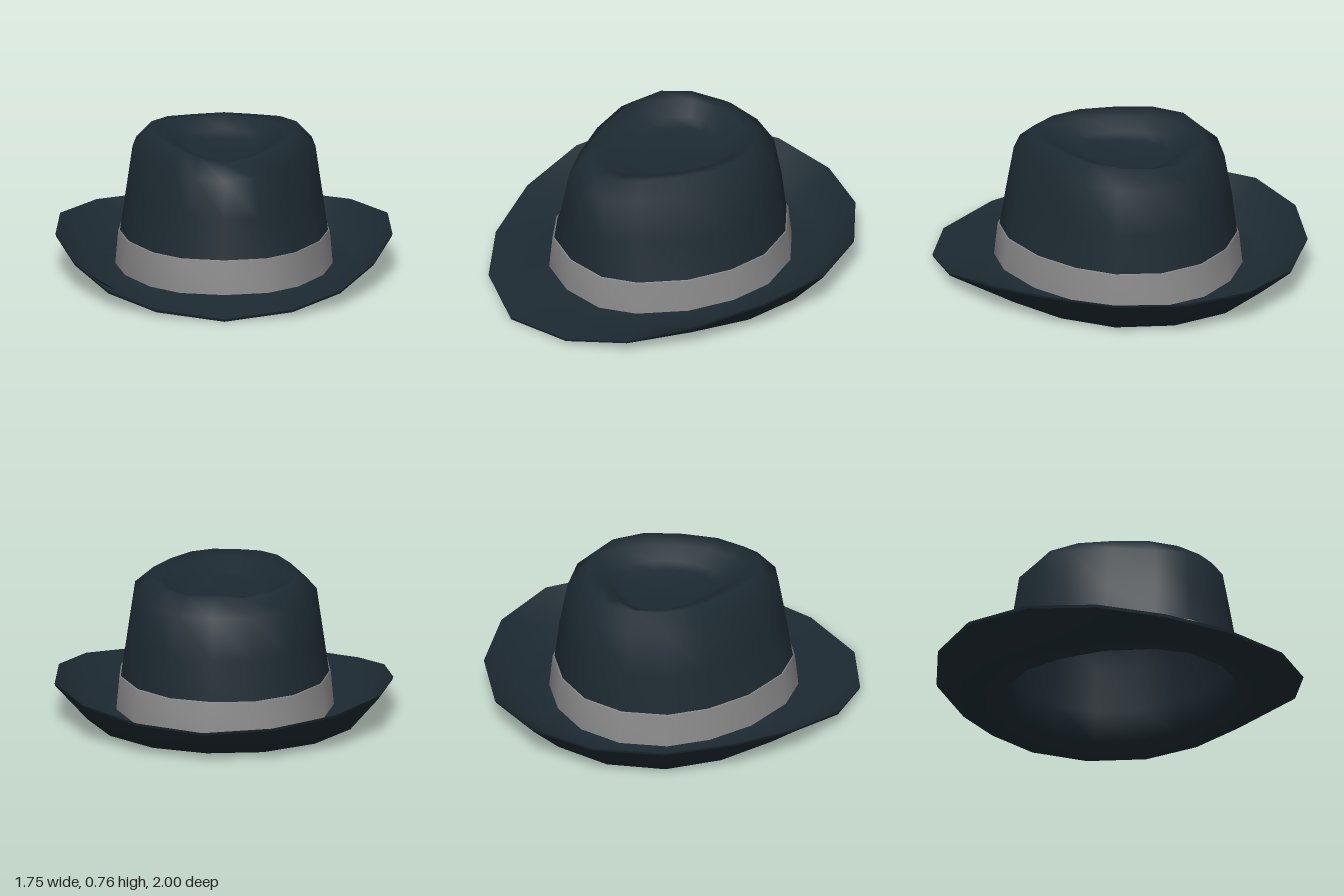
import * as THREE from 'three';

// Half outlines from back centre to front centre, as [x, y, z]
const BAND_BASE = [[0, .05, -.65], [.23, .05, -.61], [.425, .05, -.47], [.545, .05, -.25], [.565, .05, -.02],
  [.515, .05, .23], [.385, .05, .47], [.23, .05, .6], [0, .05, .645]];
const BRIM_EDGE = [[0, .183, -1], [.355, .198, -.925], [.66, .215, -.71], [.85, .225, -.39], [.875, .21, -.01],
  [.78, .155, .365], [.605, .085, .68], [.355, .04, .895], [0, .016, 1]];
const WAIST = [[0, .44, -.59], [.21, .44, -.56], [.385, .44, -.43], [.49, .44, -.235], [.51, .44, -.02],
  [.44, .44, .2], [.31, .44, .42], [.185, .44, .55], [0, .44, .587]];
const SHOULDER = [[0, .665, -.55], [.2, .665, -.52], [.365, .67, -.4], [.455, .68, -.22], [.475, .68, -.02],
  [.39, .675, .19], [.265, .66, .39], [.16, .65, .52], [0, .645, .56]];
const CREST = [[0, .746, -.46], [.15, .742, -.44], [.29, .757, -.34], [.375, .766, -.2], [.38, .762, -.02],
  [.315, .752, .165], [.225, .743, .325], [.125, .728, .43], [0, .715, .48]];
const DENT_EDGE = [[0, .752, -.4], [.13, .737, -.38], [.25, .735, -.31], [.31, .74, -.18], [.3, .735, -.02],
  [.25, .73, .13], [.18, .72, .25], [.1, .71, .34], [0, .705, .38]];

// Mirror a half outline into a closed ring of 16 points
const ring = half => [...half, ...half.slice(1, -1).reverse().map(([x, y, z]) => [-x, y, z])];
// Scale a ring about a point on the z axis and shift it vertically
const scaled = (r, s, dy = 0, cz = 0) => r.map(([x, y, z]) => [x * s, y + dy, cz + (z - cz) * s]);
const atHeight = (r, h) => r.map(([x, , z]) => [x, h, z]);
const mix = (a, b, t) => a.map((p, i) => p.map((v, k) => v + (b[i][k] - v) * t));

// Smooth skin through rings, listed from the top centre outward and down
function loft(name, rings, material) {
  const n = rings[0].length, index = [];
  for (let r = 0; r < rings.length - 1; r++) {
    for (let i = 0; i < n; i++) {
      const a = r * n + i, a1 = r * n + (i + 1) % n, b = a + n, b1 = a1 + n;
      index.push(a, a1, b, a1, b1, b);
    }
  }
  const geometry = new THREE.BufferGeometry();
  geometry.setAttribute('position', new THREE.Float32BufferAttribute(rings.flat(2), 3));
  geometry.setIndex(index);
  geometry.computeVertexNormals();
  const mesh = new THREE.Mesh(geometry, material);
  mesh.name = name;
  return mesh;
}

export function createModel() {
  const felt = new THREE.MeshStandardMaterial({ color: 0x1d2a32 });
  felt.name = 'dark felt';
  const ribbon = new THREE.MeshStandardMaterial({ color: 0x8a8a8a });
  ribbon.name = 'grey ribbon';

  const hat = new THREE.Group();
  hat.name = 'hat';

  const bandBase = ring(BAND_BASE), edge = ring(BRIM_EDGE);
  const dent = ring(DENT_EDGE);
  const bandTop = atHeight(scaled(bandBase, .972), .228);
  const crownBase = atHeight(scaled(bandBase, .958), .22);

  // Crown with its teardrop dent and pinched front
  const dentWall = scaled(dent, .78, -.055, -.08);
  const dentFloor = atHeight(scaled(dent, .6, 0, -.08), .655);
  const dentCentre = atHeight(scaled(dent, .001, 0, -.08), .65);
  const crown = [dentCentre, dentFloor, dentWall, dent, ring(CREST), ring(SHOULDER), ring(WAIST), crownBase];
  hat.add(loft('crown', crown, felt));

  // Ribbon band, its top lip turned in to the crown
  hat.add(loft('band', [atHeight(crownBase, .232), bandTop, bandBase], ribbon));

  // Brim: upper face, thin rim and underside
  const rimLow = edge.map(([x, y, z]) => [x * .994, y - .015, z * .994]);
  const middle = mix(bandBase, edge, .47);
  hat.add(loft('brimTop', [
    atHeight(scaled(bandBase, .96), .056),
    atHeight(bandBase, .053),
    middle.map(([x, y, z]) => [x, .032 + .08 * Math.max(0, y - .05), z]),
    edge,
  ], felt));
  hat.add(loft('brimRim', [edge, rimLow], felt));

  // Underside continues into the hollow of the crown
  const opening = atHeight(scaled(bandBase, .97), .035);
  const lining = crown.map(r => scaled(r, .975, -.015)).reverse();
  hat.add(loft('undersideAndLining', [rimLow, atHeight(middle, .014), opening, ...lining], felt));

  return hat;
}
